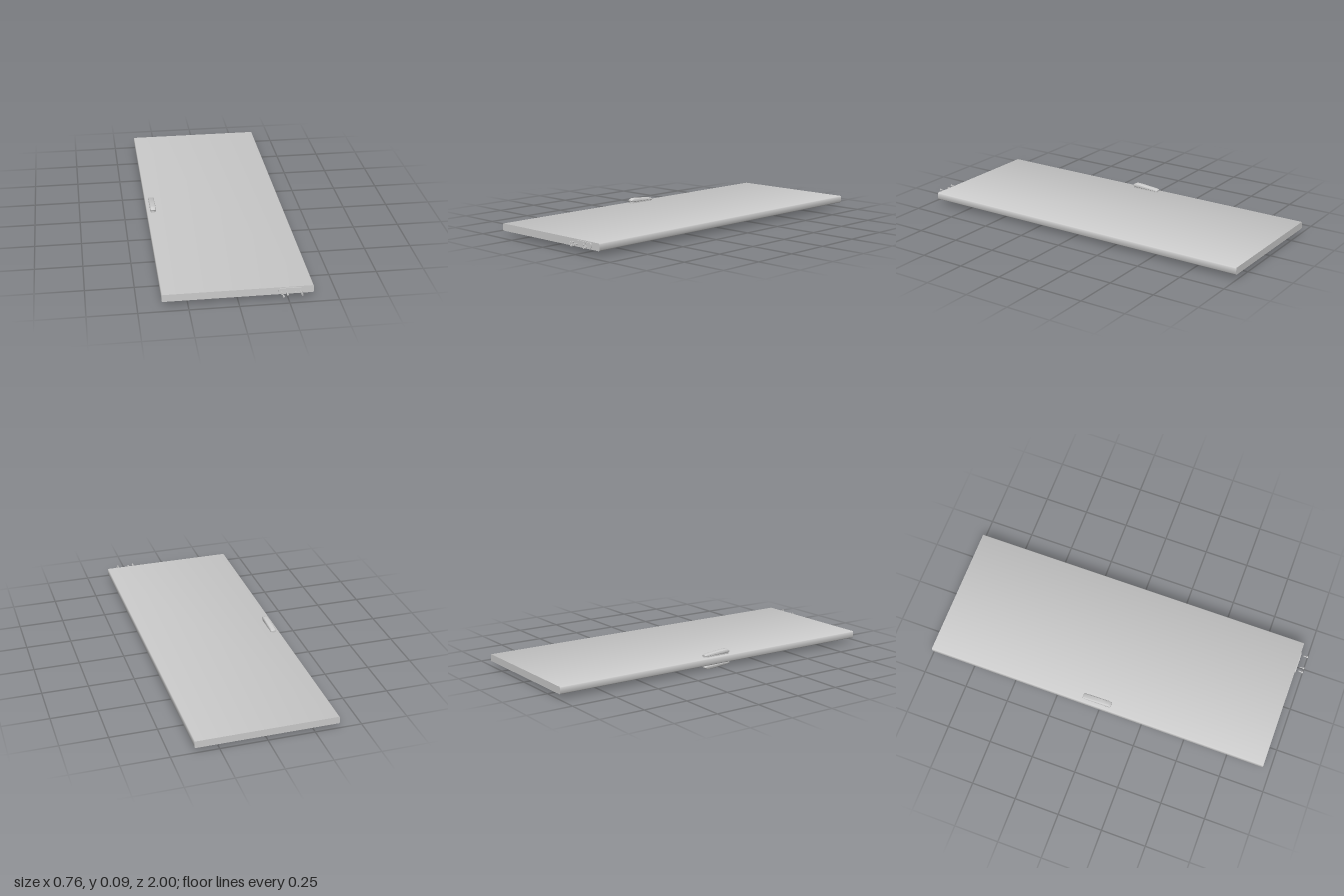
import * as THREE from 'three';
import { toCreasedNormals } from 'three/addons/utils/BufferGeometryUtils.js';

const material = new THREE.MeshStandardMaterial({ color: 0xcccccc });
const MID_Y = 0.0475; // middle of the door's thickness

function roundedRect(w, h, r) {
  const s = new THREE.Shape();
  const x = w / 2, y = h / 2;
  s.absarc(x - r, y - r, r, 0, Math.PI / 2);
  s.absarc(-x + r, y - r, r, Math.PI / 2, Math.PI);
  s.absarc(-x + r, -y + r, r, Math.PI, Math.PI * 1.5);
  s.absarc(x - r, -y + r, r, Math.PI * 1.5, Math.PI * 2);
  s.closePath();
  return s;
}

function extrude(shape, depth, bevel = 0) {
  const geometry = new THREE.ExtrudeGeometry(shape, {
    depth, curveSegments: 10, bevelEnabled: bevel > 0,
    bevelSize: bevel, bevelThickness: bevel, bevelOffset: -bevel, bevelSegments: 4,
  });
  return toCreasedNormals(geometry, 0.6);
}

function add(parent, name, geometry, x = 0, y = 0, z = 0) {
  const mesh = new THREE.Mesh(geometry, material);
  mesh.name = name;
  mesh.position.set(x, y, z);
  parent.add(mesh);
  return mesh;
}

// Handle on the +y face, in coordinates centred on the door's thickness
function createHandle(name) {
  const handle = new THREE.Group();
  handle.name = name;

  // Backplate lying on the door face
  const plate = extrude(roundedRect(0.028, 0.162, 0.0139), 0.012);
  plate.rotateX(-Math.PI / 2);
  add(handle, 'handlePlate', plate, 0, 0.018, 0);

  // Sloping grip, drawn as a side profile (z, y) and extruded across x
  const profile = new THREE.Shape();
  profile.moveTo(-0.083, 0.024);
  profile.lineTo(-0.083, 0.032);
  profile.quadraticCurveTo(-0.079, 0.036, -0.07, 0.037);
  profile.lineTo(0.02, 0.046);
  profile.lineTo(0.058, 0.0475);
  profile.quadraticCurveTo(0.07, 0.0475, 0.083, 0.036);
  profile.quadraticCurveTo(0.084, 0.03, 0.074, 0.026);
  profile.lineTo(0.06, 0.024);
  profile.closePath();
  const grip = extrude(profile, 0.018, 0.007);
  grip.translate(0, 0, -0.009);
  grip.rotateY(-Math.PI / 2);
  add(handle, 'handleGrip', grip);
  return handle;
}

// Screw pointing along z with a cross-slotted head at its outer end
function createScrew(x, y) {
  const screw = new THREE.Group();
  screw.name = 'screw';
  screw.position.set(x, y, 0);

  const shaft = new THREE.CylinderGeometry(0.0022, 0.0022, 0.02, 12).rotateX(Math.PI / 2);
  add(screw, 'screwShaft', shaft, 0, 0, 0.984);

  const outline = new THREE.Shape().absarc(0, 0, 0.0052, 0, Math.PI * 2);
  const cross = new THREE.Path();
  const a = 0.0008, b = 0.003;
  const points = [[a, a], [a, b], [-a, b], [-a, a], [-b, a], [-b, -a],
    [-a, -a], [-a, -b], [a, -b], [a, -a], [b, -a], [b, a]];
  cross.setFromPoints(points.map(([px, py]) => new THREE.Vector2(px, py)));
  outline.holes.push(cross);
  add(screw, 'screwHead', extrude(outline, 0.006), 0, 0, 0.994);
  return screw;
}

export function createModel() {
  const model = new THREE.Group();
  model.name = 'door';

  // Slab with rounded long edges
  add(model, 'doorPanel', extrude(roundedRect(0.757, 0.039, 0.006), 1.956), -0.001, MID_Y, -1);

  // Handles on both faces, the lower one turned half round
  const pivot = new THREE.Group();
  pivot.name = 'handles';
  pivot.position.set(-0.345, MID_Y, -0.018);
  const lower = createHandle('lowerHandle');
  lower.rotation.x = Math.PI;
  pivot.add(createHandle('upperHandle'), lower);
  model.add(pivot);

  // Pivot plate let into the end of the slab
  const fitting = new THREE.Group();
  fitting.name = 'pivotFitting';
  const outline = roundedRect(0.124, 0.03, 0.0149);
  outline.holes.push(new THREE.Path().absarc(0.023, 0, 0.007, 0, Math.PI * 2));
  add(fitting, 'pivotPlate', extrude(outline, 0.009), 0.262, MID_Y, 0.952);
  const socket = new THREE.CylinderGeometry(0.0065, 0.0065, 0.008, 24).rotateX(Math.PI / 2);
  add(fitting, 'pivotSocket', socket, 0.285, MID_Y, 0.955);

  // Screws and small grub screws
  for (const [x, y] of [[0.21, 0.054], [0.218, 0.04], [0.238, 0.0485], [0.305, 0.0565], [0.312, 0.0425]]) {
    fitting.add(createScrew(x, y));
  }
  for (const [x, y] of [[0.274, 0.06], [0.297, 0.037]]) {
    const pin = new THREE.CylinderGeometry(0.002, 0.002, 0.008, 10).rotateX(Math.PI / 2);
    add(fitting, 'grubScrew', pin, x, y, 0.959);
  }
  model.add(fitting);
  return model;
}
